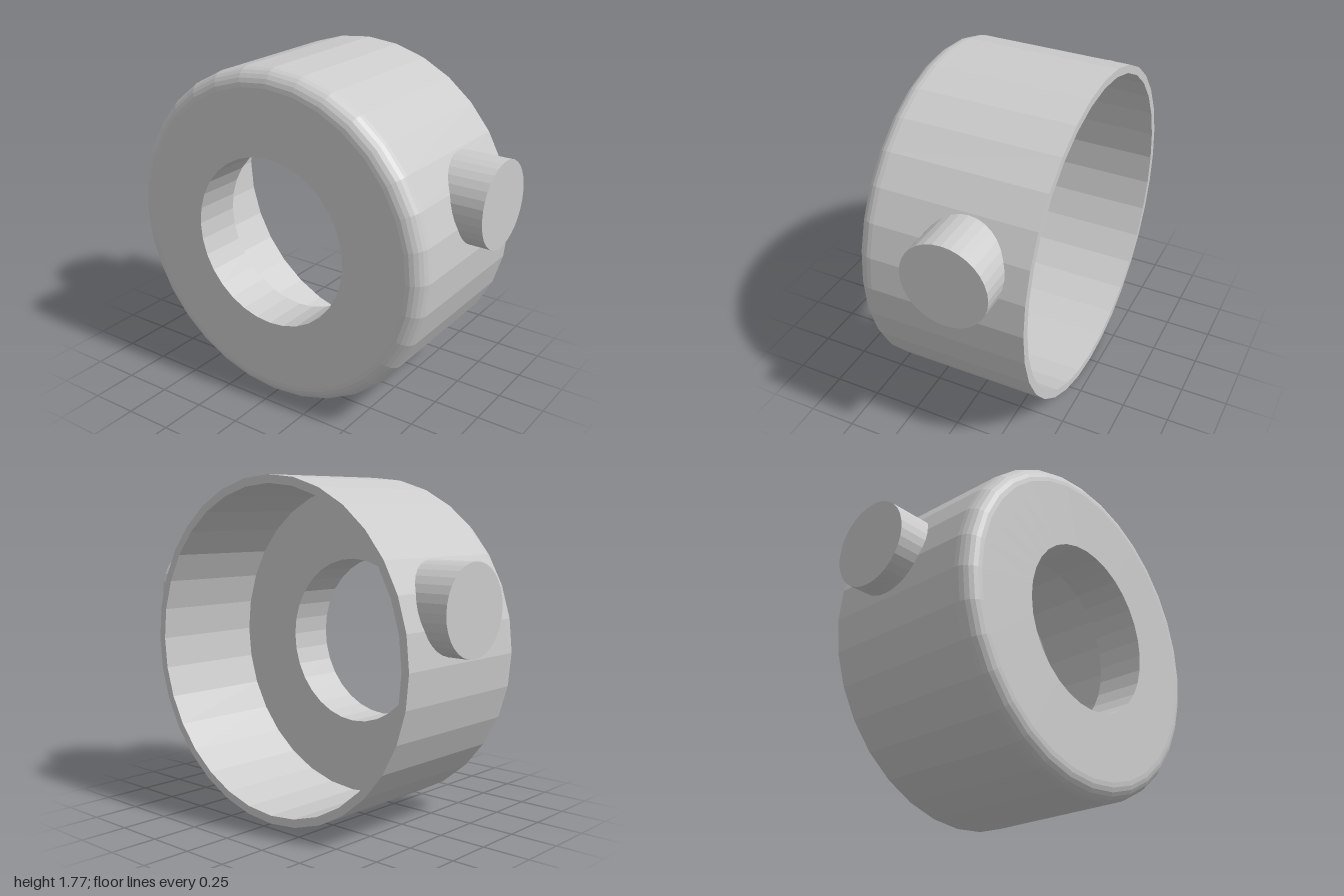
import * as THREE from 'three';

const AXIS_Y = 0.8875, R = 0.8875, HALF = 0.45, FILLET = 0.09;
const BORE = 0.45, CAVITY = 0.845, FLOOR_X = -0.19;
const PIN_R = 0.225, PIN_X = 0.11, PIN_Y = 1.147;

export function createModel() {
  const group = new THREE.Group();
  const material = new THREE.MeshStandardMaterial({ color: 0xcccccc, flatShading: true });

  // Cup: closed profile (radius, position along the axis), turned and laid along x
  const profile = [new THREE.Vector2(BORE, -HALF)];
  for (let i = 0; i <= 6; i++) {
    const a = (i / 6) * Math.PI / 2;
    profile.push(new THREE.Vector2(
      R - FILLET + FILLET * Math.sin(a), -HALF + FILLET - FILLET * Math.cos(a)));
  }
  profile.push(
    new THREE.Vector2(R, HALF),
    new THREE.Vector2(CAVITY, HALF),
    new THREE.Vector2(CAVITY, FLOOR_X),
    new THREE.Vector2(BORE, FLOOR_X),
    new THREE.Vector2(BORE, -HALF));
  const cup = new THREE.Mesh(new THREE.LatheGeometry(profile, 32), material);
  cup.name = 'cup';
  cup.rotation.z = -Math.PI / 2;
  cup.position.y = AXIS_Y;
  group.add(cup);

  // Side pins: the inner end is shaped to sit inside the curved cup wall
  const pinGeometry = new THREE.CylinderGeometry(PIN_R, PIN_R, 1, 32);
  pinGeometry.rotateX(Math.PI / 2);
  const p = pinGeometry.attributes.position;
  for (let i = 0; i < p.count; i++) {
    const dy = p.getY(i) + PIN_Y - AXIS_Y;
    p.setZ(i, p.getZ(i) > 0 ? 1 : Math.sqrt(0.865 ** 2 - dy * dy));
  }
  for (const [name, turn] of [['frontPin', 0], ['backPin', Math.PI]]) {
    const pin = new THREE.Mesh(pinGeometry, material);
    pin.name = name;
    pin.position.set(PIN_X, PIN_Y, 0);
    pin.rotation.y = turn;
    group.add(pin);
  }
  return group;
}
